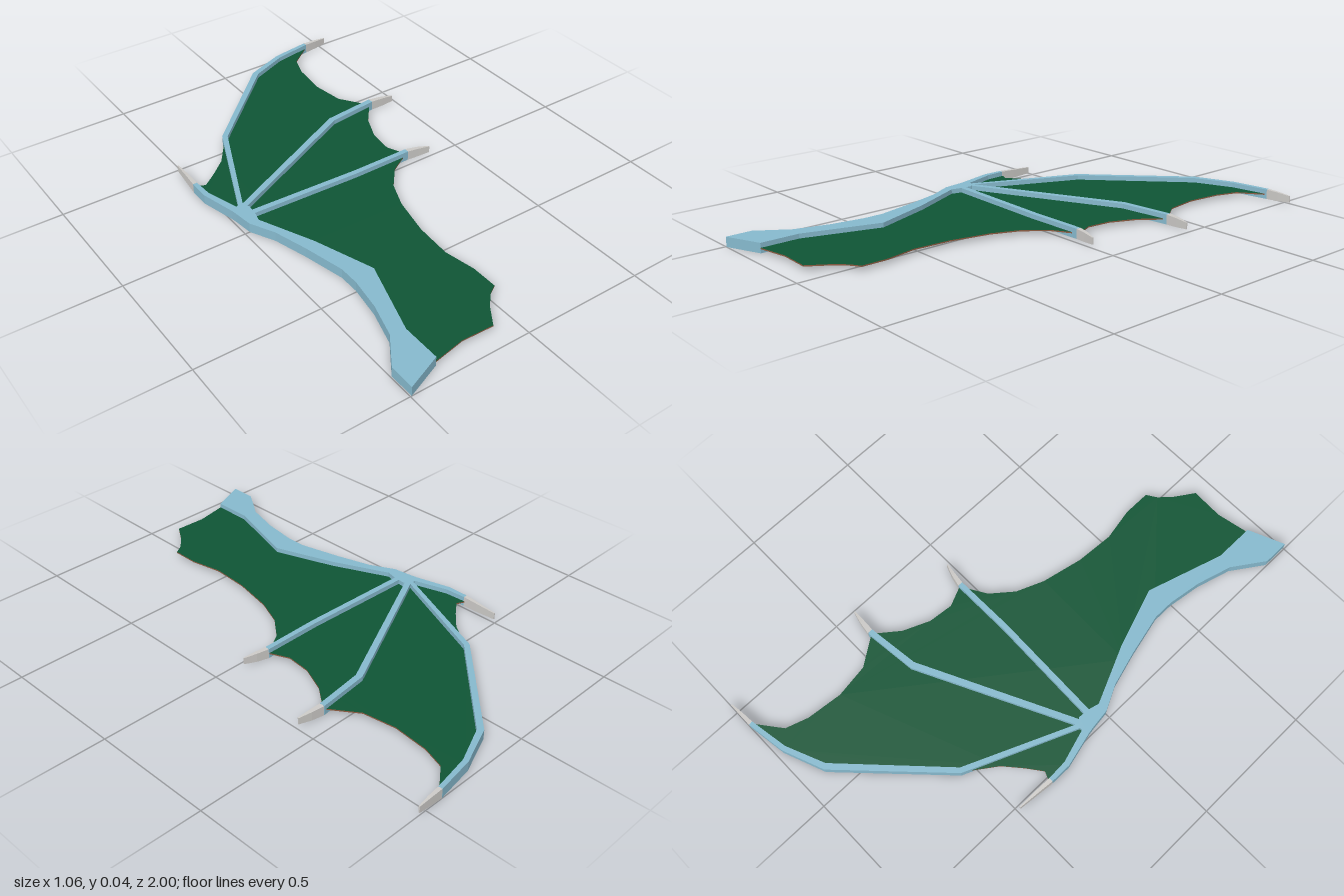
import * as THREE from 'three';

const H = 0.04; // bone thickness

const mat = (name, color, side = THREE.FrontSide) => {
  const m = new THREE.MeshStandardMaterial({ color, side });
  m.name = name;
  return m;
};

// Flat plate from an outline of [x, z] points
function plate(points, y, depth) {
  const shape = new THREE.Shape(points.map(([x, z]) => new THREE.Vector2(x, -z)));
  const g = new THREE.ExtrudeGeometry(shape, { depth, bevelEnabled: false });
  return g.rotateX(-Math.PI / 2).translate(0, y, 0);
}

// Bar with rectangular sections along [x, z, width, height] stations
function bar(stations) {
  const pos = [], index = [], n = stations.length;
  stations.forEach(([x, z, w, h], i) => {
    const a = stations[Math.max(i - 1, 0)], b = stations[Math.min(i + 1, n - 1)];
    const t = new THREE.Vector2(b[0] - a[0], b[1] - a[1]).normalize();
    const sx = t.y * w / 2, sz = -t.x * w / 2, lo = (H - h) / 2, hi = (H + h) / 2;
    pos.push(x - sx, lo, z - sz, x + sx, lo, z + sz, x + sx, hi, z + sz, x - sx, hi, z - sz);
  });
  for (let i = 0; i < n - 1; i++) {
    for (let k = 0; k < 4; k++) {
      const a = i * 4 + k, b = i * 4 + (k + 1) % 4;
      index.push(a, b, b + 4, a, b + 4, a + 4);
    }
  }
  const e = (n - 1) * 4;
  index.push(0, 2, 1, 0, 3, 2, e, e + 1, e + 2, e, e + 2, e + 3);
  const g = new THREE.BufferGeometry();
  g.setAttribute('position', new THREE.Float32BufferAttribute(pos, 3));
  g.setIndex(index);
  const flat = g.toNonIndexed();
  flat.computeVertexNormals();
  return flat;
}

export function createModel() {
  const group = new THREE.Group();
  group.name = 'wing';
  const bone = mat('bone blue', 0x86b9cd);
  const skin = mat('membrane green', 0x0f5535);
  const edge = mat('membrane edge brown', 0x8a5a40);
  const horn = mat('claw grey', 0xcbc9c6);
  const add = (name, geometry, material) => {
    const m = new THREE.Mesh(geometry, material);
    m.name = name;
    group.add(m);
  };

  // Thin membrane with scalloped trailing edge
  add('membrane', plate([
    [0.42, -0.987], [0.32, -0.91], [0.29, -0.82], [0.275, -0.675], [0.295, -0.54], [0.375, -0.425],
    [0.3, -0.33], [0.255, -0.225], [0.245, -0.125], [0.28, -0.045],
    [0.18, 0.015], [0.11, 0.1], [0.065, 0.21], [0.03, 0.375], [0.02, 0.53], [0.045, 0.66], [0.045, 0.77],
    [0.005, 0.795], [-0.04, 0.845], [-0.09, 0.92], [-0.22, 0.915], [-0.35, 0.94],
    [-0.365, 0.78], [-0.3, 0.46], [-0.38, 0.2], [-0.46, 0], [-0.48, -0.1], [-0.52, -0.25], [-0.515, -0.34],
    [-0.48, -0.325], [-0.42, -0.37], [-0.35, -0.43], [-0.265, -0.55], [0.1, -0.895], [0.26, -0.965],
  ], 0.016, 0.005), [skin, edge]);

  // Upper arm, forearm and hand
  add('arm', plate([
    [-0.495, 1], [-0.495, 0.895], [-0.41, 0.77], [-0.37, 0.63], [-0.35, 0.495], [-0.35, 0.41],
    [-0.39, 0.24], [-0.43, 0.1], [-0.48, 0], [-0.49, -0.08], [-0.495, -0.11],
    [-0.45, -0.12], [-0.425, -0.09], [-0.43, -0.04], [-0.44, 0], [-0.34, 0.225], [-0.255, 0.47],
    [-0.35, 0.78], [-0.35, 0.94],
  ], 0, H), bone);

  // Digits: bone stations [x, z, width], then the claw tip
  const digits = {
    thumb: { path: [[-0.475, -0.09, 0.03], [-0.519, -0.25, 0.022], [-0.521, -0.335, 0.017]], tip: [-0.513, -0.487] },
    firstFinger: {
      path: [[-0.455, -0.1, 0.018], [-0.262, -0.55, 0.022], [0.1, -0.9, 0.025], [0.26, -0.965, 0.02], [0.42, -0.991, 0.017]],
      tip: [0.528, -0.996],
    },
    secondFinger: { path: [[-0.45, -0.1, 0.024], [0.165, -0.4, 0.026], [0.38, -0.425, 0.022]], tip: [0.485, -0.413] },
    thirdFinger: { path: [[-0.45, -0.055, 0.024], [0.03, -0.038, 0.022], [0.28, -0.04, 0.02]], tip: [0.378, -0.018] },
  };
  for (const [name, { path, tip }] of Object.entries(digits)) {
    add(name, bar(path.map(p => [...p, H])), bone);
    const [x, z, w] = path[path.length - 1];
    add(name + 'Claw', bar([
      [x, z, w, H],
      [x + (tip[0] - x) * 0.5, z + (tip[1] - z) * 0.42, w * 0.75, H * 0.9],
      [...tip, 0.005, 0.027],
    ]), horn);
  }
  return group;
}
